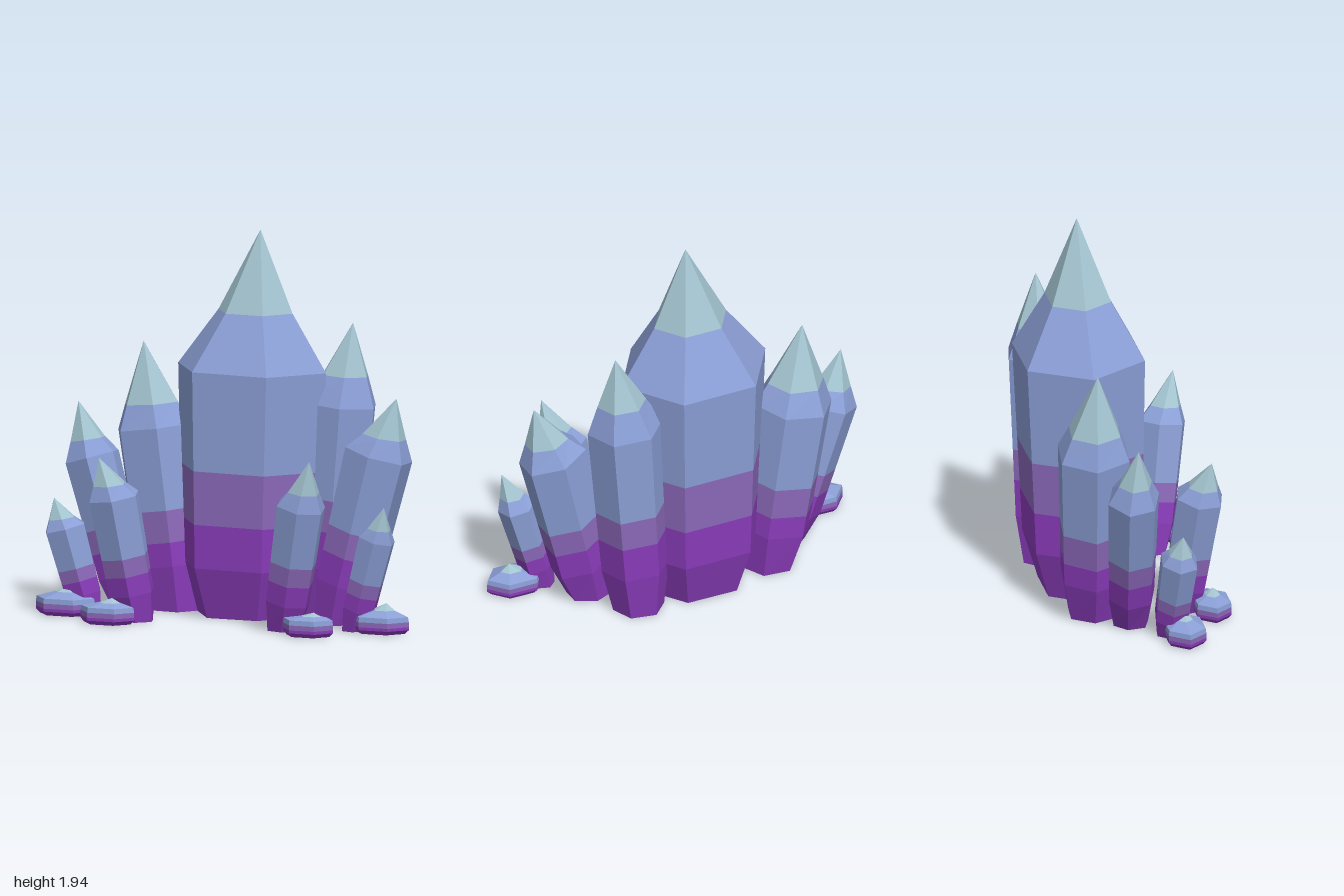
import * as THREE from 'three';

const flat = (name, color) => {
  const m = new THREE.MeshStandardMaterial({ color, flatShading: true });
  m.name = name;
  return m;
};

// Six-sided solid from stacked rings; each ring is { y, x, z, rx, rz, tilt, mat },
// where mat is the colour index of the band above it.
function stackRings(rings, rot, lean, mats) {
  const sides = 6, pos = [], geo = new THREE.BufferGeometry();
  const loops = rings.map(r => Array.from({ length: sides }, (_, i) => {
    const a = rot + i * Math.PI * 2 / sides;
    const dx = Math.cos(a) * r.rx, dz = Math.sin(a) * r.rz;
    return [r.x + dx, r.y - (dx * lean[0] + dz * lean[1]) * r.tilt, r.z + dz];
  }));
  const first = rings[0];
  for (let i = 0; i < sides; i++) {
    pos.push(first.x, first.y, first.z, ...loops[0][i], ...loops[0][(i + 1) % sides]);
  }
  geo.addGroup(0, sides * 3, first.mat);
  for (let k = 0; k < rings.length - 1; k++) {
    const start = pos.length / 3, low = loops[k], high = loops[k + 1];
    for (let i = 0; i < sides; i++) {
      const j = (i + 1) % sides;
      pos.push(...low[j], ...low[i], ...high[i]);
      if (rings[k + 1].rx > 0) pos.push(...low[j], ...high[i], ...high[j]);
    }
    geo.addGroup(start, pos.length / 3 - start, rings[k].mat);
  }
  geo.setAttribute('position', new THREE.Float32BufferAttribute(pos, 3));
  geo.computeVertexNormals();
  return new THREE.Mesh(geo, mats);
}

// Tall crystal: bevelled foot, banded shaft, shoulder, kinked point
function crystal(c, mats) {
  const [bx, bz] = c.base, [sx, sy, sz] = c.shoulder, [tx, ty, tz] = c.tip;
  const [rx, rz] = c.r, kink = c.kink ?? 0.32, kinkR = c.kinkR ?? 0.65;
  const bevel = c.bevel ?? 0.17 * ty, [b1, b2] = c.bands ?? [0.29 * ty, 0.40 * ty];
  const lean = [(sx - bx) / sy, (sz - bz) / sy];
  const shaft = (y, mat) => {
    const t = y / sy, s = 0.9 + 0.1 * (y - bevel) / (sy - bevel);
    return { y, x: bx + (sx - bx) * t, z: bz + (sz - bz) * t, rx: rx * s, rz: rz * s, tilt: 1, mat };
  };
  const mix = THREE.MathUtils.lerp;
  return stackRings([
    { y: 0, x: bx, z: bz, rx: rx * 0.68, rz: rz * 0.68, tilt: 0, mat: 0 },
    shaft(bevel, 0), shaft(b1, 1), shaft(b2, 2), shaft(sy, 2),
    { y: mix(sy, ty, kink), x: mix(sx, tx, kink), z: mix(sz, tz, kink),
      rx: rx * kinkR, rz: rz * kinkR, tilt: 0.6, mat: 3 },
    { y: ty, x: tx, z: tz, rx: 0, rz: 0, tilt: 0, mat: 3 },
  ], c.rot ?? 0, lean, mats);
}

// Low stub: squat hexagonal slab with a small spike
function stub({ x, z, rx, rz, h, px, pz, rot }, mats) {
  const ring = (y, s, mat, cx = x, cz = z) => ({ y, x: cx, z: cz, rx: rx * s, rz: rz * s, tilt: 0, mat });
  return stackRings([
    ring(0, 0.85, 0), ring(0.02, 1, 0), ring(0.035, 1, 1), ring(0.06, 1, 2), ring(0.085, 0.97, 2),
    ring(0.085 + (h - 0.085) * 0.45, 0.4, 3, (x + px) / 2, (z + pz) / 2), ring(h, 0, 3, px, pz),
  ], rot, [0, 0], mats);
}

export function createModel() {
  const group = new THREE.Group();
  group.name = 'crystalCluster';
  const mats = [
    flat('deepPurple', 0x8a3cba), flat('violet', 0x8c69ba),
    flat('periwinkle', 0x8b9fd6), flat('paleTeal', 0xa3c4d0),
  ];

  const crystals = {
    mainCrystal: { base: [0, -0.16], shoulder: [0.015, 1.24, -0.18], tip: [0.06, 1.94, -0.18], r: [0.4, 0.345],
      bevel: 0.25, bands: [0.47, 0.74], kink: 0.41, kinkR: 0.5 },
    backLeftCrystal: { base: [0.37, -0.28], shoulder: [0.45, 1.07, -0.29], tip: [0.51, 1.48, -0.3], r: [0.195, 0.18],
      rot: 0.2, bevel: 0.25, bands: [0.44, 0.6], kink: 0.36 },
    backRightCrystal: { base: [-0.4, -0.19], shoulder: [-0.525, 0.91, -0.21], tip: [-0.58, 1.34, -0.2], r: [0.205, 0.195],
      rot: 0.1, bevel: 0.22, bands: [0.34, 0.5], kink: 0.28, kinkR: 0.72 },
    sideLeftCrystal: { base: [0.53, -0.05], shoulder: [0.745, 0.86, -0.07], tip: [0.845, 1.15, -0.06], r: [0.175, 0.14],
      rot: 0.52, bands: [0.34, 0.47] },
    sideRightCrystal: { base: [-0.57, -0.03], shoulder: [-0.8, 0.76, -0.06], tip: [-0.87, 1.04, -0.05], r: [0.14, 0.135],
      rot: 0.35 },
    outerLeftCrystal: { base: [0.7, 0.14], shoulder: [0.83, 0.47, 0.16], tip: [0.89, 0.64, 0.21], r: [0.095, 0.095],
      rot: 0.3 },
    outerRightCrystal: { base: [-0.74, 0.13], shoulder: [-0.855, 0.43, 0.16], tip: [-0.91, 0.58, 0.17], r: [0.11, 0.1],
      rot: 0.15 },
    frontLeftCrystal: { base: [0.37, 0.26], shoulder: [0.495, 0.64, 0.34], tip: [0.57, 0.88, 0.41], r: [0.13, 0.125],
      rot: 0.3 },
    frontRightCrystal: { base: [-0.43, 0.25], shoulder: [-0.52, 0.63, 0.33], tip: [-0.58, 0.83, 0.38], r: [0.135, 0.125],
      rot: 0.25 },
  };
  for (const [name, c] of Object.entries(crystals)) {
    const mesh = crystal(c, mats);
    mesh.name = name;
    group.add(mesh);
  }

  const stubs = {
    outerLeftStub: { x: 0.845, z: 0.15, rx: 0.155, rz: 0.11, h: 0.15, px: 0.88, pz: 0.15, rot: 0 },
    outerRightStub: { x: -0.84, z: 0.19, rx: 0.16, rz: 0.11, h: 0.15, px: -0.82, pz: 0.19, rot: 0 },
    frontLeftStub: { x: 0.555, z: 0.39, rx: 0.135, rz: 0.1, h: 0.12, px: 0.59, pz: 0.4, rot: 0 },
    frontRightStub: { x: -0.53, z: 0.39, rx: 0.145, rz: 0.1, h: 0.13, px: -0.5, pz: 0.4, rot: 0 },
  };
  for (const [name, s] of Object.entries(stubs)) {
    const mesh = stub(s, mats);
    mesh.name = name;
    group.add(mesh);
  }
  return group;
}
